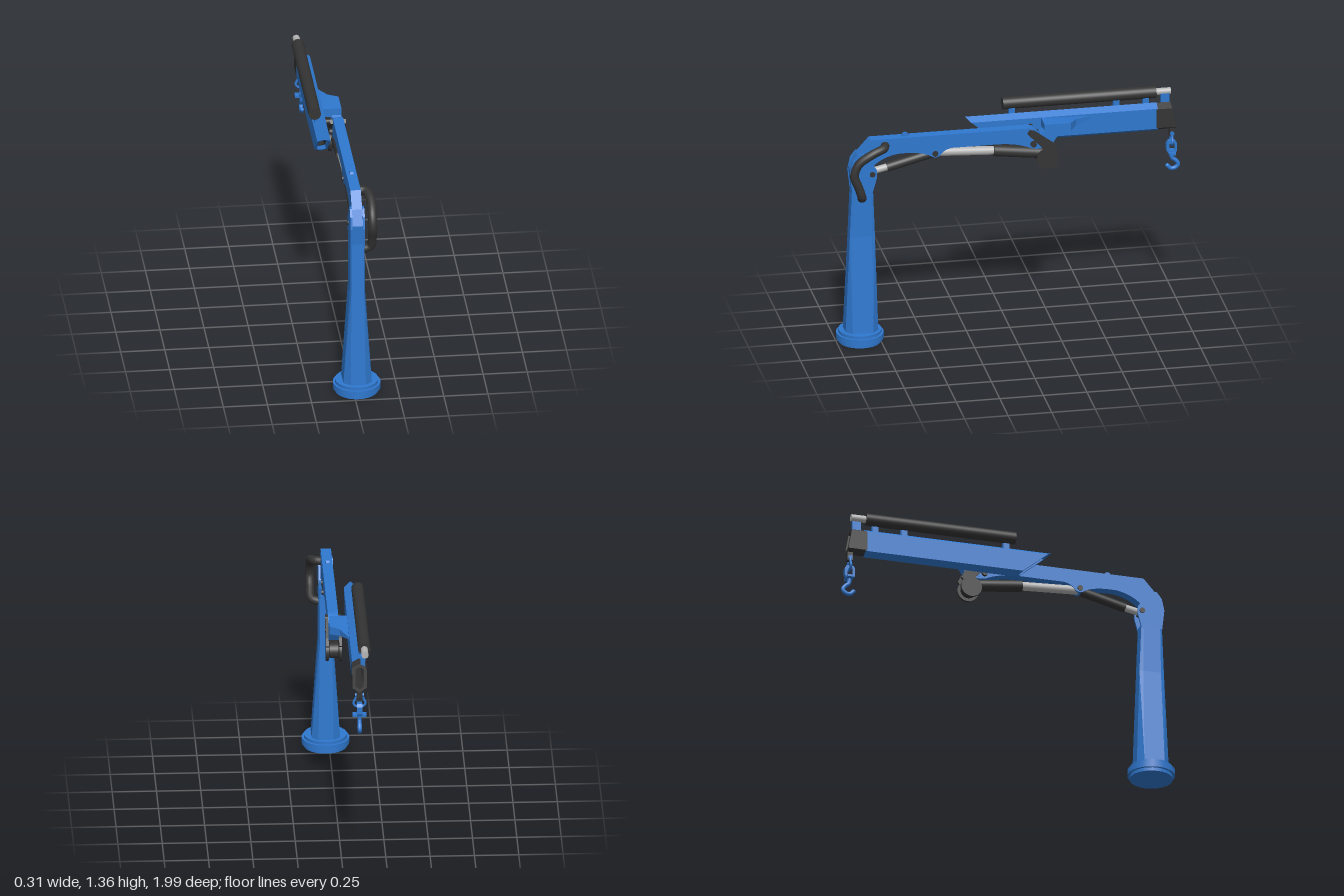
import * as THREE from 'three';
import { ConvexGeometry } from 'three/addons/geometries/ConvexGeometry.js';

const mat = (color) => new THREE.MeshStandardMaterial({ color });
const V = (x, y, z) => new THREE.Vector3(x, y, z);

export function createModel() {
  const crane = new THREE.Group();
  crane.name = 'columnCrane';
  const blue = mat(0x2f78cf), dark = mat(0x343434), silver = mat(0xb4b4b4);

  const add = (name, geometry, material, parent = crane) => {
    const m = new THREE.Mesh(geometry, material);
    m.name = name;
    parent.add(m);
    return m;
  };
  // Cylinder running from point a to point b
  const rod = (name, a, b, r, material, r2 = r) => {
    const d = b.clone().sub(a);
    const m = add(name, new THREE.CylinderGeometry(r2, r, d.length(), 28), material);
    m.position.copy(a).lerp(b, 0.5);
    m.quaternion.setFromUnitVectors(V(0, 1, 0), d.normalize());
    return m;
  };
  // Pin across the crane, centred at (z, y)
  const pin = (name, x0, x1, y, z, r, material) => rod(name, V(x0, y, z), V(x1, y, z), r, material);
  const polygon = (pts) => new THREE.Shape(pts.map(([u, v]) => new THREE.Vector2(u, v)));
  // Side profile in (z, y), given thickness from x0 to x1
  const sidePlate = (name, shape, x0, x1, material) => {
    const g = new THREE.ExtrudeGeometry(shape, { depth: x1 - x0, bevelEnabled: false, curveSegments: 14 });
    g.rotateY(-Math.PI / 2).translate(x1, 0, 0);
    return add(name, g, material);
  };
  const box = (name, x, y, z, w, h, d, material) => {
    const m = add(name, new THREE.BoxGeometry(w, h, d), material);
    m.position.set(x, y, z);
    return m;
  };
  const tube = (name, pts, r, material) =>
    add(name, new THREE.TubeGeometry(new THREE.CatmullRomCurve3(pts), 64, r, 16), material);

  const cx = 0.02, cz = 0.865;

  // Round base
  rod('baseDisc', V(cx, 0, cz), V(cx, 0.073, cz), 0.122, blue);
  rod('baseFlange', V(cx, 0.02, cz), V(cx, 0.055, cz), 0.135, blue);

  // Tapering column with chamfered corners
  const ring = (y, hx, z0, z1, cX, cZ) => {
    const pts = [];
    for (const s of [-1, 1]) {
      for (const [z, e] of [[z0, 1], [z1, -1]]) {
        pts.push(V(cx + s * (hx - cX), y, z), V(cx + s * hx, y, z + e * cZ));
      }
    }
    return pts;
  };
  const low = ring(0.07, 0.081, 0.767, 0.955, 0.038, 0.035);
  const mid = ring(0.65, 0.043, 0.785, 0.929, 0.008, 0.02);
  const top = ring(0.94, 0.041, 0.796, 0.917, 0.006, 0.012);
  add('columnLower', new ConvexGeometry([...low, ...mid]), blue);
  add('columnUpper', new ConvexGeometry([...mid, ...top]), blue);

  // Column head cheeks either side of the boom root
  const cheek = polygon([[0.917, 0.92], [0.93, 1.04], [0.915, 1.11], [0.885, 1.15],
    [0.85, 1.15], [0.81, 1.09], [0.775, 1.05], [0.775, 1.0], [0.797, 0.92]]);
  sidePlate('headCheekRight', cheek, -0.021, -0.009, blue);
  sidePlate('headCheekLeft', cheek, 0.05, 0.062, blue);

  // Main boom
  const boom = new THREE.Shape();
  boom.moveTo(0.915, 0.93);
  boom.lineTo(0.927, 1.06);
  boom.lineTo(0.885, 1.145);
  boom.lineTo(0.81, 1.23);
  boom.lineTo(-0.1, 1.23);
  boom.quadraticCurveTo(-0.17, 1.22, -0.17, 1.14);
  boom.quadraticCurveTo(-0.165, 1.1, -0.12, 1.105);
  boom.quadraticCurveTo(-0.04, 1.145, 0.08, 1.147);
  boom.lineTo(0.34, 1.147);
  boom.quadraticCurveTo(0.39, 1.14, 0.41, 1.105);
  boom.quadraticCurveTo(0.44, 1.085, 0.47, 1.11);
  boom.quadraticCurveTo(0.53, 1.14, 0.65, 1.135);
  boom.quadraticCurveTo(0.76, 1.12, 0.82, 1.04);
  boom.lineTo(0.84, 0.93);
  sidePlate('mainBoom', boom, -0.009, 0.05, blue);
  pin('boomLug', 0.01, 0.03, 1.23, 0.605, 0.02, blue);

  // Lift cylinder between column and boom
  rod('liftRod', V(cx, 1.025, 0.81), V(cx, 1.05, 0.7), 0.02, silver);
  rod('liftBarrel', V(cx, 1.046, 0.71), V(cx, 1.113, 0.45), 0.027, dark);
  pin('liftLowerPin', -0.026, 0.066, 1.025, 0.8, 0.016, dark);
  pin('liftUpperPin', -0.016, 0.06, 1.12, 0.438, 0.016, dark);

  // Fold cylinder between boom and knuckle
  rod('foldRod', V(cx, 1.118, 0.43), V(cx, 1.1, 0.09), 0.025, silver);
  rod('foldBarrel', V(cx, 1.1, 0.1), V(cx, 1.066, -0.18), 0.033, dark);

  // Knuckle: roller, link plates and pins
  pin('knuckleRoller', -0.005, 0.045, 1.04, -0.205, 0.045, dark);
  const link = polygon([[-0.09, 1.2], [-0.105, 1.22], [-0.13, 1.215], [-0.245, 1.13],
    [-0.265, 1.09], [-0.24, 1.065], [-0.19, 1.07], [-0.175, 1.11]]);
  for (const [side, x0, x1] of [['Right', -0.024, -0.009], ['Left', 0.05, 0.065]]) {
    pin('rollerFlange' + side, x0, x1, 1.04, -0.205, 0.061, dark);
    sidePlate('knuckleLink' + side, link, x0, x1, dark);
  }
  pin('knucklePin', -0.026, 0.066, 1.135, -0.125, 0.017, dark);
  pin('knuckleUpperPin', -0.05, 0.066, 1.2, -0.125, 0.016, dark);

  // Bracket joining the knuckle to the offset arm
  sidePlate('knuckleBracket', polygon([[-0.165, 1.19], [-0.26, 1.245], [-0.34, 1.24],
    [-0.27, 1.18], [-0.225, 1.11], [-0.14, 1.1]]), -0.008, 0.049, blue);
  const plan = polygon([[-0.06, 0.19], [0.05, 0.19], [0.05, 0.34], [-0.008, 0.38],
    [-0.033, 0.43], [-0.06, 0.485]]);
  const plate = new THREE.ExtrudeGeometry(plan, { depth: 0.05, bevelEnabled: false });
  plate.rotateX(-Math.PI / 2).translate(0, 1.195, 0);
  // underside rises towards the tip
  const pp = plate.attributes.position;
  for (let i = 0; i < pp.count; i++) {
    const t = Math.max(0, (-pp.getZ(i) - 0.34) / 0.145);
    pp.setY(i, pp.getY(i) < 1.22 ? 1.195 + 0.025 * t : 1.245 - 0.015 * t);
  }
  plate.computeVertexNormals();
  add('armBracket', plate, blue);

  // Hollow six-sided arm, inner end cut at a slant
  const ax = -0.093;
  const hexPoints = (hw, y0, y1, c) => [[ax, y0], [ax + hw, y0 + c], [ax + hw, y1 - c],
    [ax, y1], [ax - hw, y1 - c], [ax - hw, y0 + c]];
  const hexTube = (hw, y0, y1, inner, z0, z1, rule) => {
    const s = polygon(hexPoints(hw, y0, y1, 0.024));
    s.holes.push(polygon(hexPoints(hw - inner, y0 + inner, y1 - inner, 0.016).reverse()));
    const g = new THREE.ExtrudeGeometry(s, { depth: z1 - z0, bevelEnabled: false });
    g.translate(0, 0, z0);
    const p = g.attributes.position;
    for (let i = 0; i < p.count; i++) p.setZ(i, rule(p.getY(i), p.getZ(i)));
    g.computeVertexNormals();
    return g;
  };
  add('outerArm', hexTube(0.038, 1.1, 1.27, 0.012, -0.86, 0.24,
    (y, z) => (z > 0 ? 0.24 - (1.27 - y) * 1.2 : z)), blue);
  add('innerArm', hexTube(0.03, 1.108, 1.262, 0.01, -0.9, 0.2,
    (y, z) => (z > 0 ? 0.19 - (1.27 - y) * 1.2 : z)), dark);
  add('armEndCap', hexTube(0.041, 1.105, 1.268, 0.018, -0.95, -0.852,
    (y, z) => (z < -0.9 ? -0.937 - (1.27 - y) * 0.18 : z)), dark);

  // Extension cylinder on top of the arm
  const ex = -0.124, ey = 1.322;
  rod('extensionBarrel', V(ex, ey, 0.02), V(ex, ey, -0.86), 0.035, dark);
  rod('extensionRod', V(ex, ey, -0.85), V(ex, ey, -0.945), 0.02, silver);
  sidePlate('rodBracket', polygon([[-0.885, 1.25], [-0.885, 1.315], [-0.935, 1.315], [-0.935, 1.25]]),
    -0.125, -0.1, blue);
  for (const z of [-0.03, -0.63, -0.8]) box('barrelMount', -0.108, 1.275, z, 0.025, 0.045, 0.035, blue);

  // Hose looping from column to boom
  tube('hydraulicHose', [V(0.045, 1.19, 0.725), V(0.085, 1.188, 0.74), V(0.107, 1.165, 0.81),
    V(0.107, 1.11, 0.888), V(0.107, 1.04, 0.912), V(0.107, 0.97, 0.888),
    V(0.1, 0.905, 0.867), V(0.055, 0.883, 0.862)], 0.025, dark);

  // Hook block hanging from the arm tip
  const hz = -0.945;
  box('hookLug', ax, 1.09, hz, 0.035, 0.05, 0.03, dark);
  pin('hookLugPin', ax - 0.025, ax + 0.025, 1.08, hz, 0.012, blue);
  tube('shackle', [V(ax - 0.016, 1.085, hz), V(ax - 0.022, 1.06, hz), V(ax - 0.034, 1.03, hz),
    V(ax - 0.02, 1.012, hz), V(ax, 1.008, hz), V(ax + 0.02, 1.012, hz), V(ax + 0.034, 1.03, hz),
    V(ax + 0.022, 1.06, hz), V(ax + 0.016, 1.085, hz)], 0.007, blue);
  const loop = polygon([[-0.915, 0.975], [-0.925, 0.955], [-0.965, 0.955], [-0.975, 0.975],
    [-0.975, 1.015], [-0.965, 1.032], [-0.925, 1.032], [-0.915, 1.015]]);
  loop.holes.push(polygon([[-0.93, 0.975], [-0.96, 0.975], [-0.96, 1.015], [-0.93, 1.015]]));
  sidePlate('swivelLoop', loop, ax - 0.015, ax + 0.015, blue);
  box('swivelPlate', ax, 0.96, hz, 0.078, 0.013, 0.04, blue);
  tube('hook', [V(ax, 0.96, hz), V(ax, 0.925, hz - 0.004), V(ax, 0.908, hz - 0.024),
    V(ax, 0.885, hz - 0.038), V(ax, 0.865, hz - 0.022), V(ax, 0.862, hz + 0.004),
    V(ax, 0.88, hz + 0.024)], 0.012, blue);
  const tip = add('hookTip', new THREE.SphereGeometry(0.012, 16, 12), blue);
  tip.position.set(ax, 0.88, hz + 0.024);

  return crane;
}
